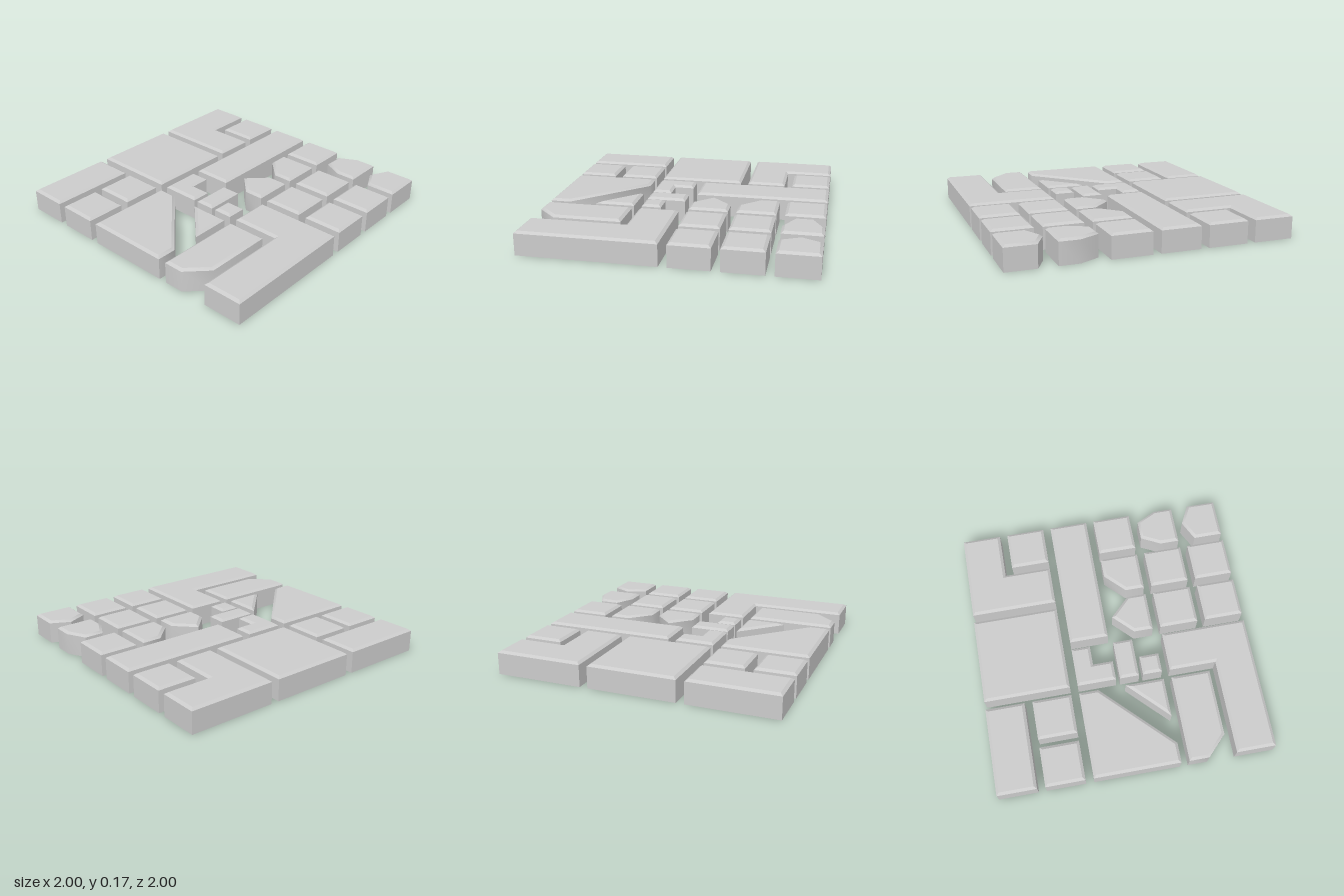
import * as THREE from 'three';
import { mergeGeometries, toCreasedNormals } from 'three/addons/utils/BufferGeometryUtils.js';

const HEIGHT = 0.17, SHOULDER = 0.155, BEVEL = 0.02;
const PITCH = 0.343, SIZE = 0.285;
const lo = i => -1 + PITCH * i;         // near edge of grid cell i
const hi = i => lo(i) + SIZE;           // far edge of grid cell i

// Outline of a rectangle, in [x, z] pairs, clockwise seen from above
const rect = (x0, z0, x1, z1) => [[x0, z0], [x1, z0], [x1, z1], [x0, z1]];
// Rectangle spanning whole grid cells
const cells = (c, r, w = 1, d = 1) => rect(lo(c), lo(r), hi(c + w - 1), hi(r + d - 1));

// Mitred inset of an outline
function inset(pts, d) {
  const n = pts.length;
  const normal = (a, b) => new THREE.Vector2(a[1] - b[1], b[0] - a[0]).normalize();
  return pts.map((p, i) => {
    const n1 = normal(pts[(i + n - 1) % n], p), n2 = normal(p, pts[(i + 1) % n]);
    const k = d / (1 + n1.dot(n2));
    return [p[0] + k * (n1.x + n2.x), p[1] + k * (n1.y + n2.y)];
  });
}

function fromTriangles(pos) {
  const g = new THREE.BufferGeometry();
  g.setAttribute('position', new THREE.Float32BufferAttribute(pos, 3));
  g.computeVertexNormals();
  return g;
}

// Ring of quads joining a lower outline to an upper one
function band(low, yLow, high, yHigh) {
  const pos = [];
  low.forEach((p, i) => {
    const j = (i + 1) % low.length;
    const a = [p[0], yLow, p[1]], b = [low[j][0], yLow, low[j][1]];
    const c = [high[j][0], yHigh, high[j][1]], d = [high[i][0], yHigh, high[i][1]];
    pos.push(...a, ...d, ...c, ...a, ...c, ...b);
  });
  return toCreasedNormals(fromTriangles(pos), THREE.MathUtils.degToRad(50));
}

function cap(pts, y) {
  const faces = THREE.ShapeUtils.triangulateShape(pts.map(p => new THREE.Vector2(...p)), []);
  return fromTriangles(faces.flatMap(([a, b, c]) =>
    [a, c, b].flatMap(k => [pts[k][0], y, pts[k][1]])));
}

// Hollow stone: walls, bevelled rim and top, open underneath
function stoneGeometry(pts) {
  const top = inset(pts, BEVEL);
  return mergeGeometries([
    band(pts, 0, pts, SHOULDER),
    band(pts, SHOULDER, top, HEIGHT),
    cap(top, HEIGHT),
  ]);
}

export function createModel() {
  const group = new THREE.Group();
  group.name = 'stonePaving';
  const material = new THREE.MeshStandardMaterial({ color: 0xcccccc, side: THREE.DoubleSide });
  const add = (name, pts) => {
    const mesh = new THREE.Mesh(stoneGeometry(pts), material);
    mesh.name = name;
    group.add(mesh);
  };

  // Single square stones by column and row
  [[1, 0], [3, 0], [4, 1], [5, 1], [4, 2], [5, 2], [1, 4], [1, 5]]
    .forEach(([c, r]) => add('squareStone', cells(c, r)));

  // Large rectangular stones
  add('largeSquareStone', cells(0, 2, 2, 2));
  add('longStone', cells(2, 0, 1, 3));
  add('doubleStone', cells(0, 4, 1, 2));

  // L-shaped stones
  add('backCornerStone', [[lo(0), lo(0)], [hi(0), lo(0)], [hi(0), lo(1)],
    [hi(1), lo(1)], [hi(1), hi(1)], [lo(0), hi(1)]]);
  add('frontCornerStone', [[lo(4), lo(3)], [hi(5), lo(3)], [hi(5), hi(5)],
    [lo(5), hi(5)], [lo(5), hi(3)], [lo(4), hi(3)]]);
  add('smallCornerStone', [[lo(2), lo(3)], [-0.176, lo(3)], [-0.176, 0.172],
    [hi(2), 0.172], [hi(2), hi(3)], [lo(2), hi(3)]]);

  // Small rectangular fragments
  add('narrowStone', rect(0, lo(3), 0.143, hi(3)));
  add('smallSquareStone', rect(0.172, 0.172, hi(3), hi(3)));

  // Stones with clipped corners
  add('clippedStone', [[lo(3), lo(1)], [hi(3), lo(1)], [hi(3), hi(1)], [0.172, hi(1)], [lo(3), -0.515]]);
  add('pointedStone', [[lo(3), -0.172], [0.172, lo(2)], [hi(3), lo(2)], [hi(3), hi(2)], [0.172, hi(2)]]);
  add('bluntStone', [[lo(4), -0.927], [0.515, lo(0)], [hi(4), lo(0)],
    [hi(4), hi(0)], [0.515, hi(0)], [lo(4), -0.787]]);
  add('cornerPointedStone', [[lo(5), -0.858], [0.786, lo(0)], [hi(5), lo(0)], [hi(5), hi(0)], [0.786, hi(0)]]);
  add('clippedDoubleStone', [[lo(4), lo(4)], [hi(4), lo(4)], [hi(4), 0.855], [0.515, hi(5)], [lo(4), hi(5)]]);

  // Large stone split along its diagonal
  add('splitStone', [[lo(2), lo(4)], [-0.172, lo(4)], [hi(3), 0.857], [hi(3), hi(5)], [lo(2), hi(5)]]);
  add('triangleStone', [[lo(3), lo(4)], [hi(3), lo(4)], [hi(3), hi(4)]]);

  return group;
}
